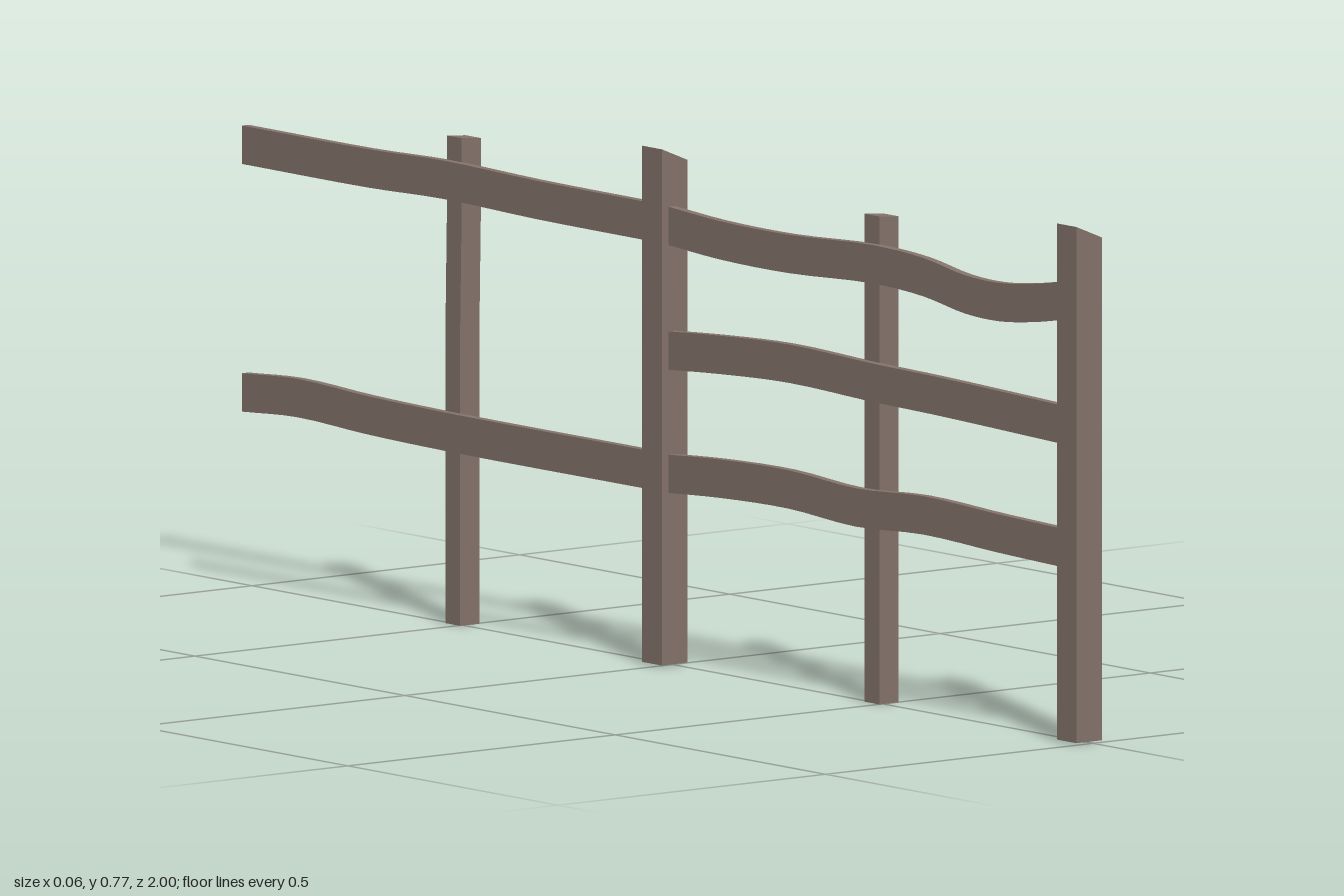
import * as THREE from 'three';

const wood = new THREE.MeshStandardMaterial({ color: 0x84736a });
wood.name = 'weathered wood';

// Lofts four-cornered sections into a closed, hard-edged beam.
// Corners run counter-clockwise as seen from the far end.
function loft(name, sections) {
  const out = [];
  const quad = (a, b, c, d) => { for (const p of [a, b, c, a, c, d]) out.push(...p); };
  for (let i = 0; i < sections.length - 1; i++) {
    const s = sections[i], t = sections[i + 1];
    for (let k = 0; k < 4; k++) {
      const n = (k + 1) % 4;
      quad(s[k], s[n], t[n], t[k]);
    }
  }
  const [a, b, c, d] = sections[0];
  quad(d, c, b, a);
  quad(...sections[sections.length - 1]);
  const geo = new THREE.BufferGeometry();
  geo.setAttribute('position', new THREE.Float32BufferAttribute(out, 3));
  geo.computeVertexNormals();
  const mesh = new THREE.Mesh(geo, wood);
  mesh.name = name;
  return mesh;
}

// Upright post; each level is [y at -x side, y at +x side, z shift]
function post(name, x0, x1, z0, z1, levels) {
  return loft(name, levels.map(([yl, yr, dz]) => [
    [x0, yl, z1 + dz], [x1, yr, z1 + dz], [x1, yr, z0 + dz], [x0, yl, z0 + dz],
  ]));
}

// Thin board whose centre line follows [z, y] points, from back to front
function rail(name, points) {
  const x0 = -0.019, x1 = -0.006, h = 0.0285;
  const curve = new THREE.CatmullRomCurve3(points.map(([z, y]) => new THREE.Vector3(0, y, z)));
  const steps = (points.length - 1) * 4;
  return loft(name, curve.getPoints(steps).map(({ y, z }) => [
    [x0, y - h, z], [x1, y - h, z], [x1, y + h, z], [x0, y + h, z],
  ]));
}

export function createModel() {
  const fence = new THREE.Group();
  fence.name = 'fence';

  // Main posts with slanted tops
  const mainLevels = [[0.003, 0.003, 0], [0.77, 0.75, 0]];
  fence.add(post('frontMainPost', -0.031, 0.017, 0.954, 1, mainLevels));
  fence.add(post('middleMainPost', -0.031, 0.017, -0.033, 0.014, mainLevels));

  // Slim posts standing against the rails
  fence.add(post('frontSlimPost', -0.007, 0.029, 0.466, 0.501, [[0, 0, 0], [0.725, 0.722, 0]]));
  fence.add(post('backSlimPost', -0.007, 0.029, -0.531, -0.496,
    [[0, 0, 0], [0.45, 0.45, 0], [0.6, 0.6, 0.003], [0.725, 0.722, 0.003]]));

  // Front bay: three warped rails
  fence.add(rail('frontTopRail', [[0, 0.656], [0.14, 0.648], [0.3, 0.647], [0.5, 0.655],
    [0.62, 0.65], [0.72, 0.636], [0.8, 0.634], [0.88, 0.642], [0.965, 0.656]]));
  fence.add(rail('frontMiddleRail', [[0, 0.469], [0.14, 0.478], [0.3, 0.484], [0.5, 0.479],
    [0.65, 0.477], [0.965, 0.469]]));
  fence.add(rail('frontBottomRail', [[0, 0.286], [0.14, 0.294], [0.3, 0.297], [0.46, 0.289],
    [0.62, 0.296], [0.8, 0.29], [0.965, 0.286]]));

  // Back bay: two rails with free ends
  fence.add(rail('backTopRail', [[-1, 0.657], [-0.7, 0.657], [-0.52, 0.661], [-0.3, 0.657], [-0.025, 0.656]]));
  fence.add(rail('backBottomRail', [[-1, 0.289], [-0.87, 0.296], [-0.7, 0.29], [-0.5, 0.287], [-0.025, 0.287]]));
  return fence;
}
